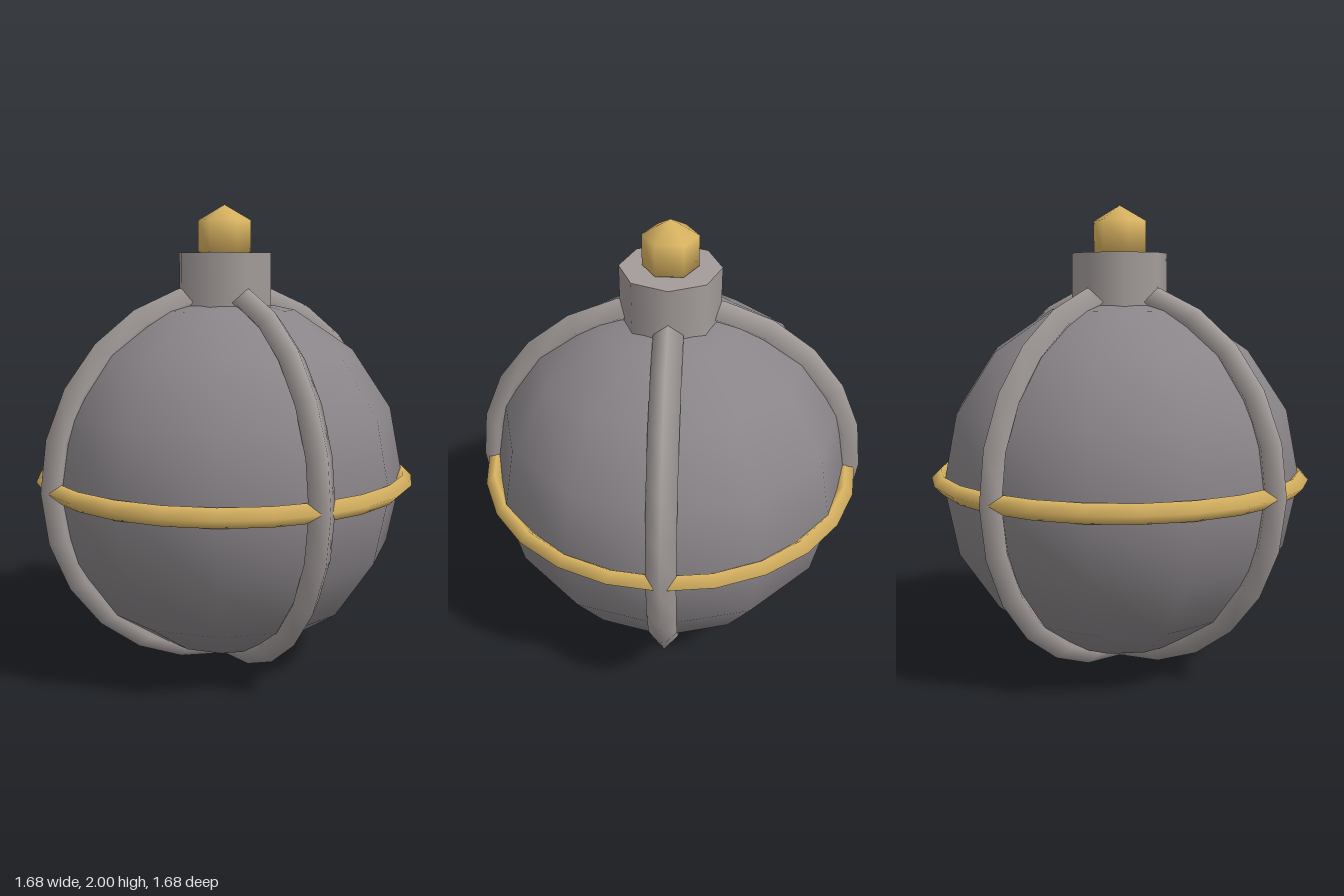
import * as THREE from 'three';

const R = 0.78; // globe radius
const CY = 0.84; // globe centre height

export function createModel() {
  const model = new THREE.Group();
  const body = new THREE.MeshStandardMaterial({ color: 0x8a8589 });
  const metal = new THREE.MeshStandardMaterial({ color: 0xa39c9a });
  const gold = new THREE.MeshStandardMaterial({ color: 0xdcb663 });

  const add = (name, geometry, material, y) => {
    const mesh = new THREE.Mesh(geometry, material);
    mesh.name = name;
    mesh.position.y = y;
    model.add(mesh);
    return mesh;
  };

  // Coarse, smoothly shaded globe
  add('globe', new THREE.SphereGeometry(R, 12, 8), body, CY);

  // Two crossing upright bands with a diamond cross-section
  const band = new THREE.TorusGeometry(R, 0.06, 4, 24);
  add('bandAcross', band, metal, CY);
  add('bandFrontToBack', band, metal, CY).rotation.y = Math.PI / 2;

  // Thinner gold band around the equator
  add('equatorBand', new THREE.TorusGeometry(R, 0.04, 4, 24), gold, CY).rotation.x = Math.PI / 2;

  // Eight-sided neck with a six-sided knob
  add('neck', new THREE.CylinderGeometry(0.205, 0.205, 0.24, 8), metal, 1.68);
  add('knob', new THREE.SphereGeometry(0.13, 6, 3), gold, 1.87).rotation.y = Math.PI / 2;

  return model;
}
